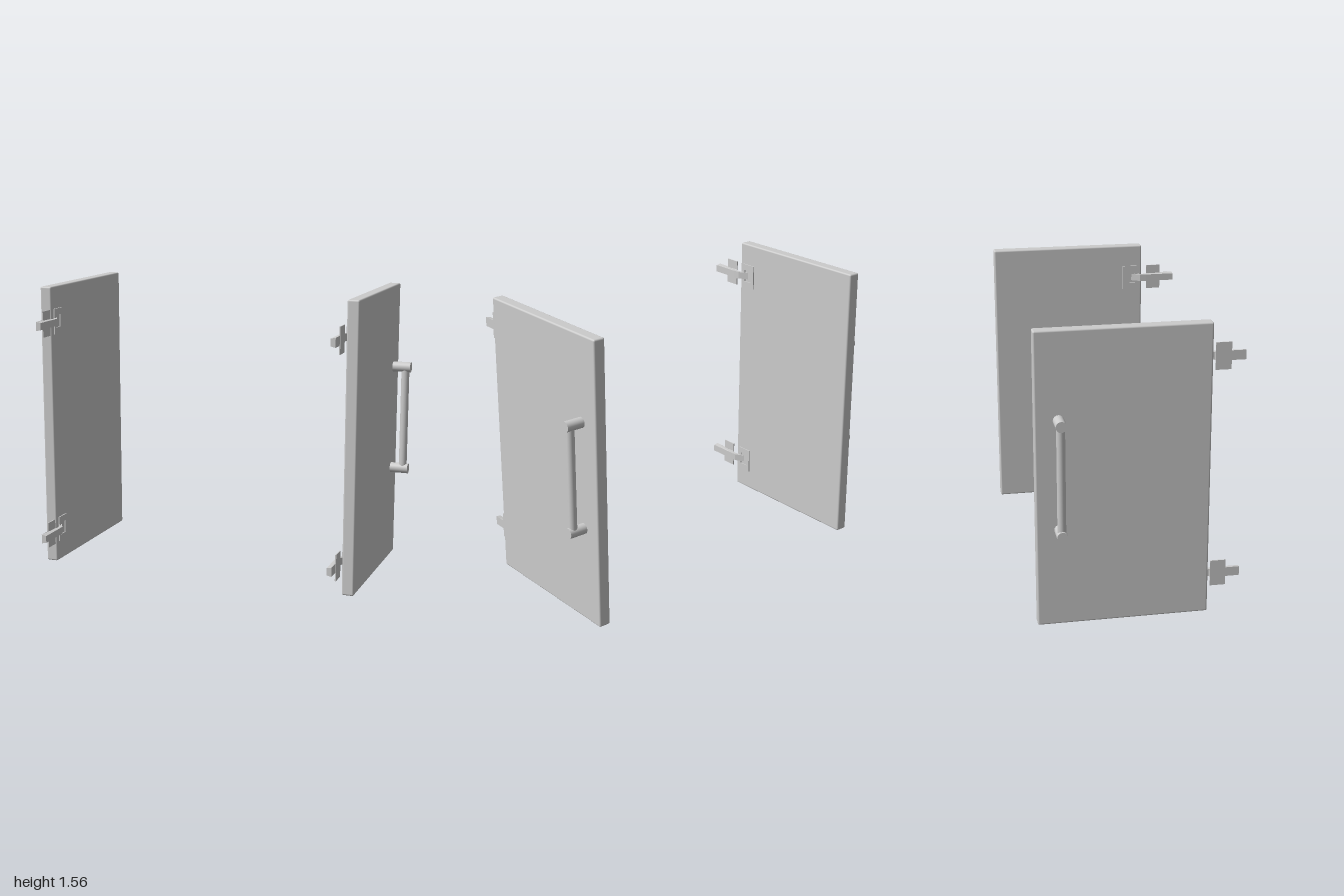
import * as THREE from 'three';
import { RoundedBoxGeometry } from 'three/addons/geometries/RoundedBoxGeometry.js';

const material = new THREE.MeshStandardMaterial({ color: 0xcccccc });
const flatMaterial = new THREE.MeshStandardMaterial({ color: 0xcccccc, flatShading: true });

function add(parent, name, geometry, x, y, z, mat = material) {
  const mesh = new THREE.Mesh(geometry, mat);
  mesh.name = name;
  mesh.position.set(x, y, z);
  parent.add(mesh);
  return mesh;
}

// Bar handle: two round posts joined by a thinner upright bar
function createHandle(side) {
  const handle = new THREE.Group();
  handle.name = 'handle';
  const z = -0.418;
  for (const y of [0.525, 1.105]) {
    const post = new THREE.CylinderGeometry(0.028, 0.028, 0.102, 32).rotateZ(Math.PI / 2);
    add(handle, 'handlePost', post, side * 0.949, y, z);
  }
  add(handle, 'handleBar', new THREE.CylinderGeometry(0.022, 0.022, 0.58, 32), side * 0.969, 0.815, z);
  return handle;
}

// Hinge arm: cranked outline seen from above, tapered towards its inner face
function createArm(side) {
  const outline = [
    [0.838, 0.285], [0.806, 0.338], [0.805, 0.375], [0.805, 0.385], [0.805, 0.537],
    [0.832, 0.537], [0.832, 0.385], [0.827, 0.375], [0.824, 0.348], [0.838, 0.322],
  ].map(([x, z]) => new THREE.Vector2(side * x, z));
  const geometry = new THREE.ExtrudeGeometry(new THREE.Shape(outline), { depth: 0.05, bevelEnabled: false });
  geometry.translate(0, 0, -0.025).rotateX(Math.PI / 2);
  const p = geometry.attributes.position;
  for (let i = 0; i < p.count; i++) {
    const neck = p.getZ(i) < 0.38 ? 0.78 : 1;
    const taper = Math.abs(p.getX(i)) < 0.81 ? 0.78 : 1;
    p.setY(i, p.getY(i) * Math.min(neck, taper));
  }
  geometry.computeVertexNormals();
  return geometry;
}

// Cup plate: thin plate on the door with an opening around the arm
function createCupPlate() {
  const shape = new THREE.Shape();
  shape.moveTo(-0.045, -0.07).lineTo(0.045, -0.07).lineTo(0.045, 0.07).lineTo(-0.045, 0.07).closePath();
  const hole = new THREE.Path();
  hole.moveTo(-0.025, -0.035).lineTo(-0.025, 0.035).lineTo(0.03, 0.035).lineTo(0.03, -0.035).closePath();
  shape.holes.push(hole);
  return new THREE.ExtrudeGeometry(shape, { depth: 0.008, bevelEnabled: false })
    .translate(0, 0, -0.004).rotateY(-Math.PI / 2);
}

function createHinge(side, y) {
  const hinge = new THREE.Group();
  hinge.name = 'hinge';
  hinge.position.y = y;
  add(hinge, 'hingeCupPlate', createCupPlate(), side * 0.833, 0, 0.281, flatMaterial);
  add(hinge, 'hingeArm', createArm(side), 0, 0, 0, flatMaterial);
  add(hinge, 'hingeMountPlate', new THREE.BoxGeometry(0.006, 0.142, 0.082), side * 0.832, 0, 0.421, flatMaterial);
  return hinge;
}

export function createModel() {
  const model = new THREE.Group();
  model.name = 'cabinetDoors';
  for (const side of [-1, 1]) {
    const door = new THREE.Group();
    door.name = side > 0 ? 'leftDoor' : 'rightDoor';
    add(door, 'doorPanel', new RoundedBoxGeometry(0.065, 1.56, 0.888, 3, 0.009), side * 0.868, 0.78, -0.093);
    door.add(createHandle(side));
    for (const y of [0.182, 1.367]) door.add(createHinge(side, y));
    model.add(door);
  }
  return model;
}
